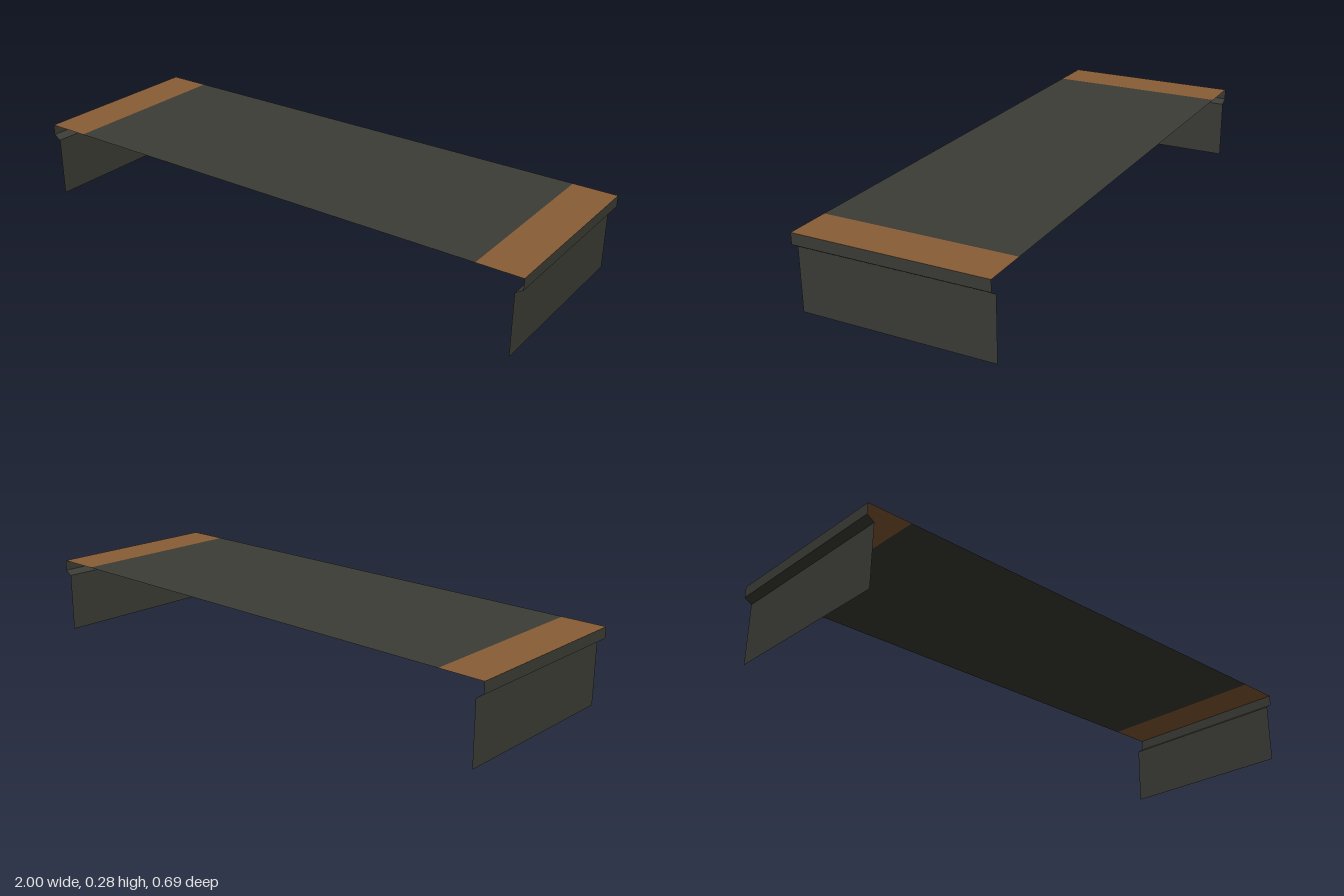
import * as THREE from 'three';

const HALF_DEPTH = 0.344;

// Flat sheet spanning the full depth, running between two points of the side profile
function sheet(name, [x0, y0], [x1, y1], material) {
  const length = Math.hypot(x1 - x0, y1 - y0);
  const geometry = new THREE.PlaneGeometry(length, HALF_DEPTH * 2);
  geometry.rotateX(-Math.PI / 2);
  geometry.rotateZ(Math.atan2(y1 - y0, x1 - x0));
  geometry.translate((x0 + x1) / 2, (y0 + y1) / 2, 0);
  const mesh = new THREE.Mesh(geometry, material);
  mesh.name = name;
  return mesh;
}

export function createModel() {
  const charcoal = new THREE.MeshStandardMaterial({ color: 0x3c3d36, side: THREE.DoubleSide });
  charcoal.name = 'charcoal';
  const wood = new THREE.MeshStandardMaterial({ color: 0x895d35, side: THREE.DoubleSide });
  wood.name = 'brown wood';

  const model = new THREE.Group();
  model.name = 'lowTable';

  // Centre of the top
  model.add(sheet('topPanel', [-0.838, 0.28], [0.838, 0.28], charcoal));

  // Each end: wooden band, upright lip, sloping underside and leg panel.
  // Points run so that the sheets face outward.
  const band = [0.838, 0.28], edge = [1, 0.28], lip = [1, 0.24], neck = [0.973, 0.223], foot = [0.973, 0];
  for (const side of [1, -1]) {
    const end = new THREE.Group();
    end.name = side > 0 ? 'leftEnd' : 'rightEnd';
    end.add(
      sheet('woodBand', band, edge, wood),
      sheet('edgeLip', edge, lip, charcoal),
      sheet('lipUnderside', lip, neck, charcoal),
      sheet('legPanel', neck, foot, charcoal)
    );
    if (side < 0) end.rotation.y = Math.PI;
    model.add(end);
  }
  return model;
}
